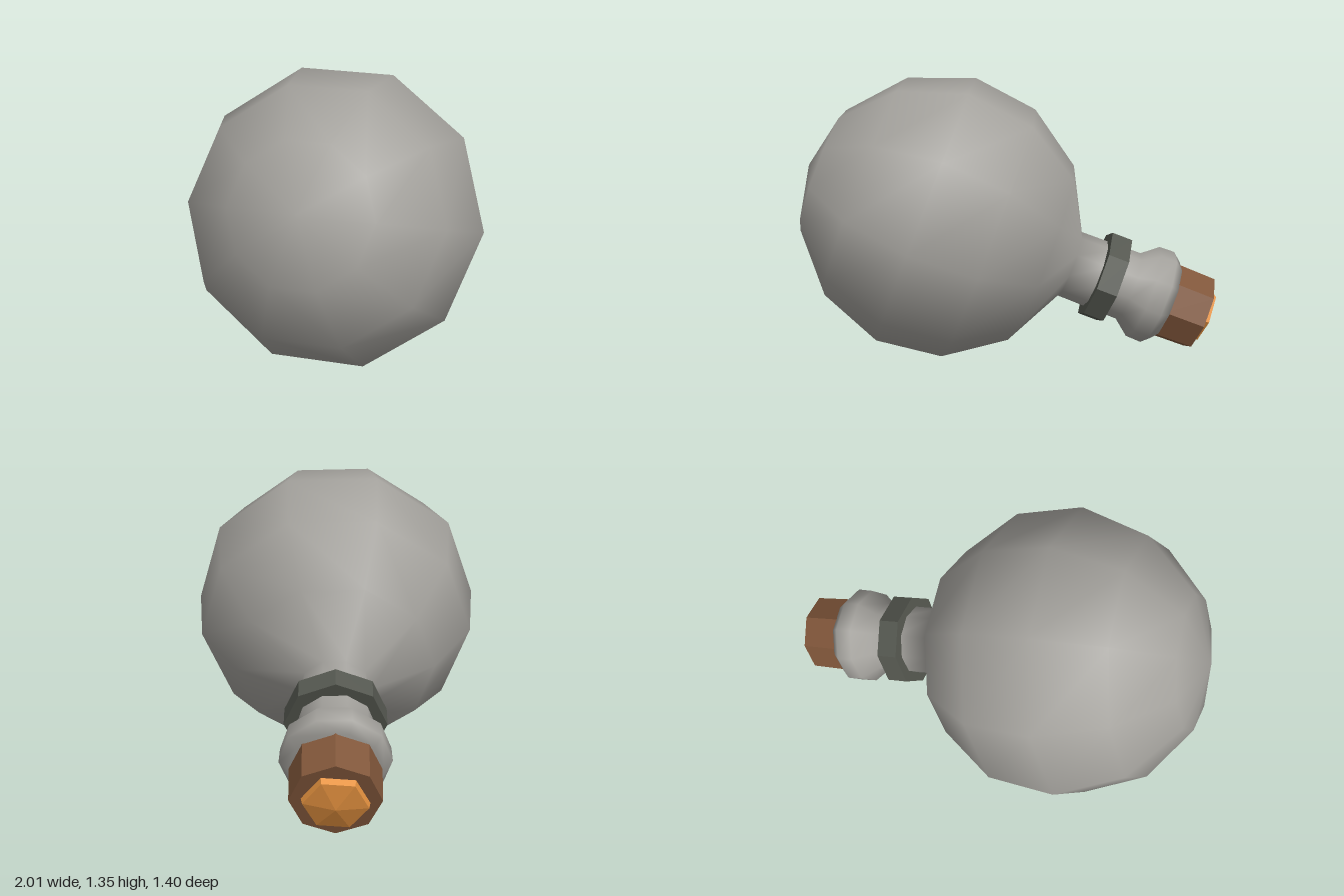
import * as THREE from 'three';
import { mergeVertices } from 'three/addons/utils/BufferGeometryUtils.js';

const paint = (name, color) => {
  const m = new THREE.MeshStandardMaterial({ color });
  m.name = name;
  return m;
};

// Turned part: profile of [radius, height], number of sides, start angle in degrees
function turned(name, profile, sides, startDeg, material, smooth) {
  const points = profile.map(([r, h]) => new THREE.Vector2(r, h));
  let geo = new THREE.LatheGeometry(points, sides, THREE.MathUtils.degToRad(startDeg));
  geo.deleteAttribute('uv');
  geo.deleteAttribute('normal');
  geo = mergeVertices(geo, 1e-4);
  if (!smooth) geo = geo.toNonIndexed();
  geo.computeVertexNormals();
  const mesh = new THREE.Mesh(geo, material);
  mesh.name = name;
  return mesh;
}

export function createModel() {
  const glass = paint('grey glass', 0xa3a19c);
  const dark = paint('dark collar', 0x54574f);
  const cork = paint('brown cork', 0x80563a);
  const amber = paint('amber', 0xe5923f);

  const bottle = new THREE.Group();
  bottle.name = 'bottle';

  // Round body, from the far pole to the shoulder, then neck and flared lip
  const R = 0.712;
  const profile = [];
  for (const deg of [180, 153, 125, 97, 69.5, 41.5, 14]) {
    const a = THREE.MathUtils.degToRad(deg);
    profile.push([deg === 180 ? 0 : R * Math.sin(a), R * Math.cos(a)]);
  }
  profile.push([0.175, 0.86], [0.178, 1.01], [0.242, 1.09], [0.245, 1.17], [0.205, 1.215], [0, 1.215]);
  bottle.add(turned('flask', profile, 10, 94.4, glass, true));

  // Collar around the neck
  bottle.add(turned('collar',
    [[0.16, 0.83], [0.232, 0.83], [0.232, 0.935], [0.16, 0.935]], 8, 84, dark, false));

  // Stopper
  bottle.add(turned('stopper',
    [[0, 1.19], [0.2, 1.19], [0.195, 1.4], [0, 1.4]], 8, 84, cork, false));

  // Slightly domed cap on the stopper
  bottle.add(turned('stopperCap',
    [[0.145, 1.395], [0.138, 1.43], [0, 1.455]], 6, 124, amber, false));

  // Lay the bottle over so the neck points down, left and back
  const up = new THREE.Vector3(0.854, -0.355, -0.378).normalize();
  const back = new THREE.Vector3(0, -0.729, 0.685);
  const side = new THREE.Vector3().crossVectors(up, back).normalize();
  back.crossVectors(side, up);
  bottle.quaternion.setFromRotationMatrix(new THREE.Matrix4().makeBasis(side, up, back));
  bottle.position.set(-0.29, 0.69, 0);

  const model = new THREE.Group();
  model.name = 'tiltedBottle';
  model.add(bottle);
  return model;
}
